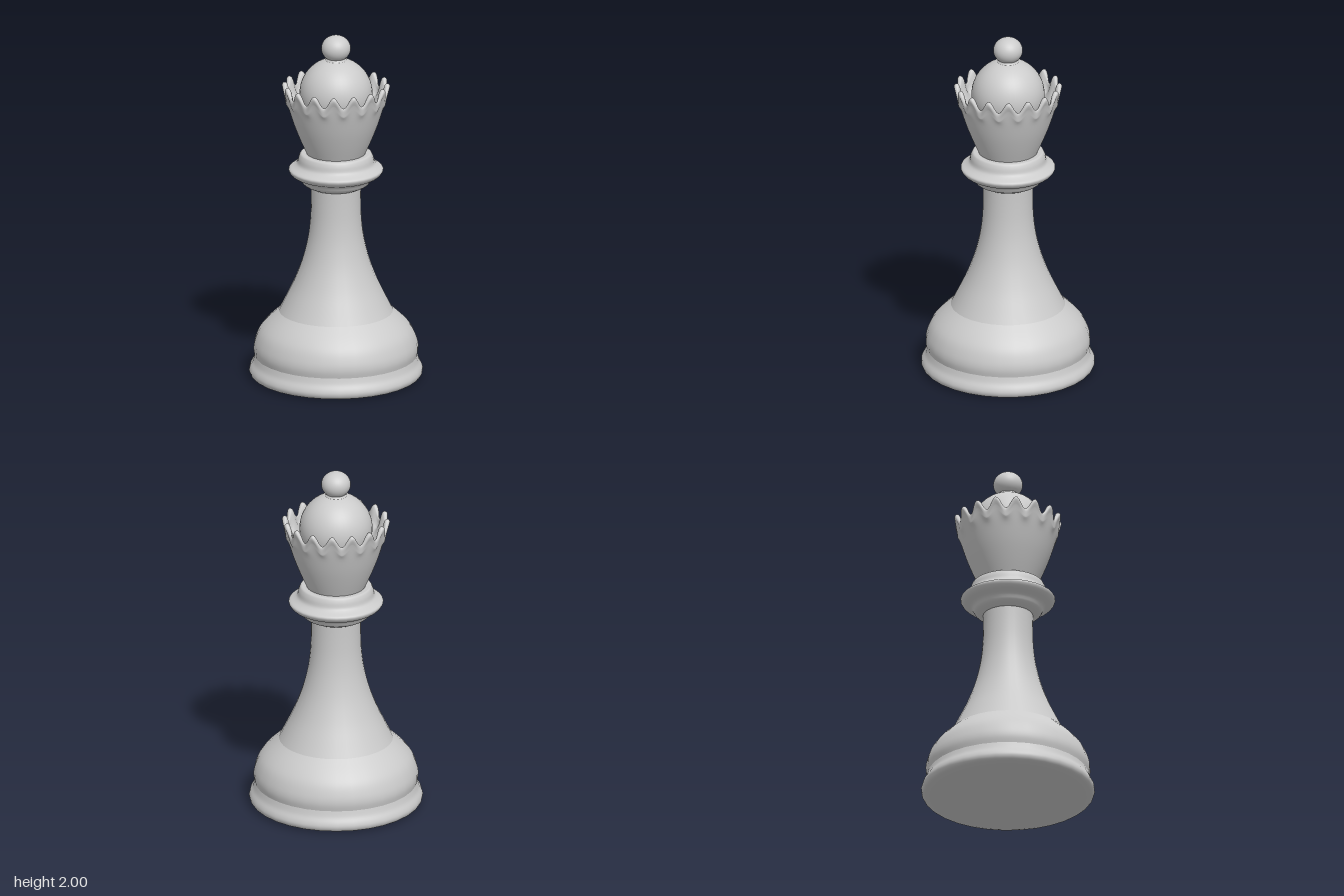
import * as THREE from 'three';
import { mergeVertices } from 'three/addons/utils/BufferGeometryUtils.js';

const material = new THREE.MeshStandardMaterial({ color: 0xcccccc });

const toPoints = (list) => list.map(([r, y]) => new THREE.Vector2(r, y));
const smoothProfile = (list, divisions) =>
  new THREE.SplineCurve(toPoints(list)).getPoints(divisions);

// Lathe one run of profile points, listed from the bottom up
function turned(name, points, sides = 32) {
  const mesh = new THREE.Mesh(new THREE.LatheGeometry(points, sides), material);
  mesh.name = name;
  return mesh;
}

// Hollow crown: the rim is pulled down and thinned between its points
function crownGeometry() {
  const teeth = 16, phase = THREE.MathUtils.degToRad(6);
  const outer = smoothProfile([[0.165, 1.31], [0.2, 1.39], [0.235, 1.48], [0.265, 1.575], [0.285, 1.65]], 16);
  const rim = smoothProfile([[0.29, 1.67], [0.302, 1.7], [0.3, 1.716], [0.288, 1.723], [0.275, 1.715], [0.266, 1.69]], 14);
  const inner = smoothProfile([[0.26, 1.66], [0.245, 1.61], [0.222, 1.565], [0.19, 1.54], [0.1, 1.53]], 12);
  let geometry = new THREE.LatheGeometry([...outer, ...rim, ...inner], teeth * 12);
  const p = geometry.attributes.position;
  for (let i = 0; i < p.count; i++) {
    const x = p.getX(i), y = p.getY(i), z = p.getZ(i);
    const r = Math.hypot(x, z);
    const valley = 0.5 - 0.5 * Math.cos(teeth * (Math.atan2(x, z) - phase));
    const drop = THREE.MathUtils.smoothstep(y, 1.56, 1.71);
    const thin = THREE.MathUtils.smoothstep(y, 1.62, 1.7);
    const middle = 0.274;
    const scale = (middle + (r - middle) * (1 - 0.6 * valley * thin)) / r;
    p.setXYZ(i, x * scale, y - 0.066 * valley * drop, z * scale);
  }
  // Weld the seam so the shading stays smooth all round
  geometry.deleteAttribute('uv');
  geometry.deleteAttribute('normal');
  geometry = mergeVertices(geometry, 1e-5);
  geometry.computeVertexNormals();
  return geometry;
}

export function createModel() {
  const group = new THREE.Group();

  // Flat underside and rounded foot ring
  group.add(turned('underside', toPoints([[0, 0], [0.44, 0]])));
  group.add(turned('footRing', smoothProfile(
    [[0.44, 0], [0.475, 0.012], [0.487, 0.035], [0.482, 0.06], [0.466, 0.09], [0.456, 0.125]], 18)));

  // Bulging base that meets the stem at a soft shoulder
  group.add(turned('baseBulge', smoothProfile(
    [[0.456, 0.125], [0.462, 0.165], [0.455, 0.21], [0.43, 0.27], [0.385, 0.325], [0.32, 0.385]], 20)));
  group.add(turned('stem', smoothProfile(
    [[0.32, 0.385], [0.285, 0.455], [0.235, 0.56], [0.19, 0.68], [0.16, 0.8], [0.145, 0.91], [0.14, 1.02], [0.14, 1.125]], 28)));

  // Collar with a protruding ring
  group.add(turned('collarUnderside', toPoints([[0.13, 1.115], [0.15, 1.115]])));
  group.add(turned('collar', smoothProfile(
    [[0.15, 1.115], [0.185, 1.135], [0.205, 1.165], [0.245, 1.185], [0.263, 1.205], [0.263, 1.222],
      [0.235, 1.238], [0.217, 1.255], [0.21, 1.285], [0.201, 1.306], [0.192, 1.312]], 36)));
  group.add(turned('collarTop', toPoints([[0.192, 1.312], [0.12, 1.312]])));

  // Scalloped crown
  const crown = new THREE.Mesh(crownGeometry(), material);
  crown.name = 'crown';
  group.add(crown);

  // Dome inside the crown
  const dome = new THREE.Mesh(new THREE.SphereGeometry(0.205, 40, 28), material);
  dome.name = 'dome';
  dome.position.y = 1.66;
  group.add(dome);

  // Finial: a short flared neck and a ball
  group.add(turned('finialNeck', smoothProfile(
    [[0.07, 1.845], [0.056, 1.862], [0.053, 1.875], [0.058, 1.89]], 10)));
  const ball = new THREE.Mesh(new THREE.SphereGeometry(0.083, 32, 20), material);
  ball.name = 'finialBall';
  ball.scale.y = 0.9;
  ball.position.y = 1.925;
  group.add(ball);

  return group;
}
